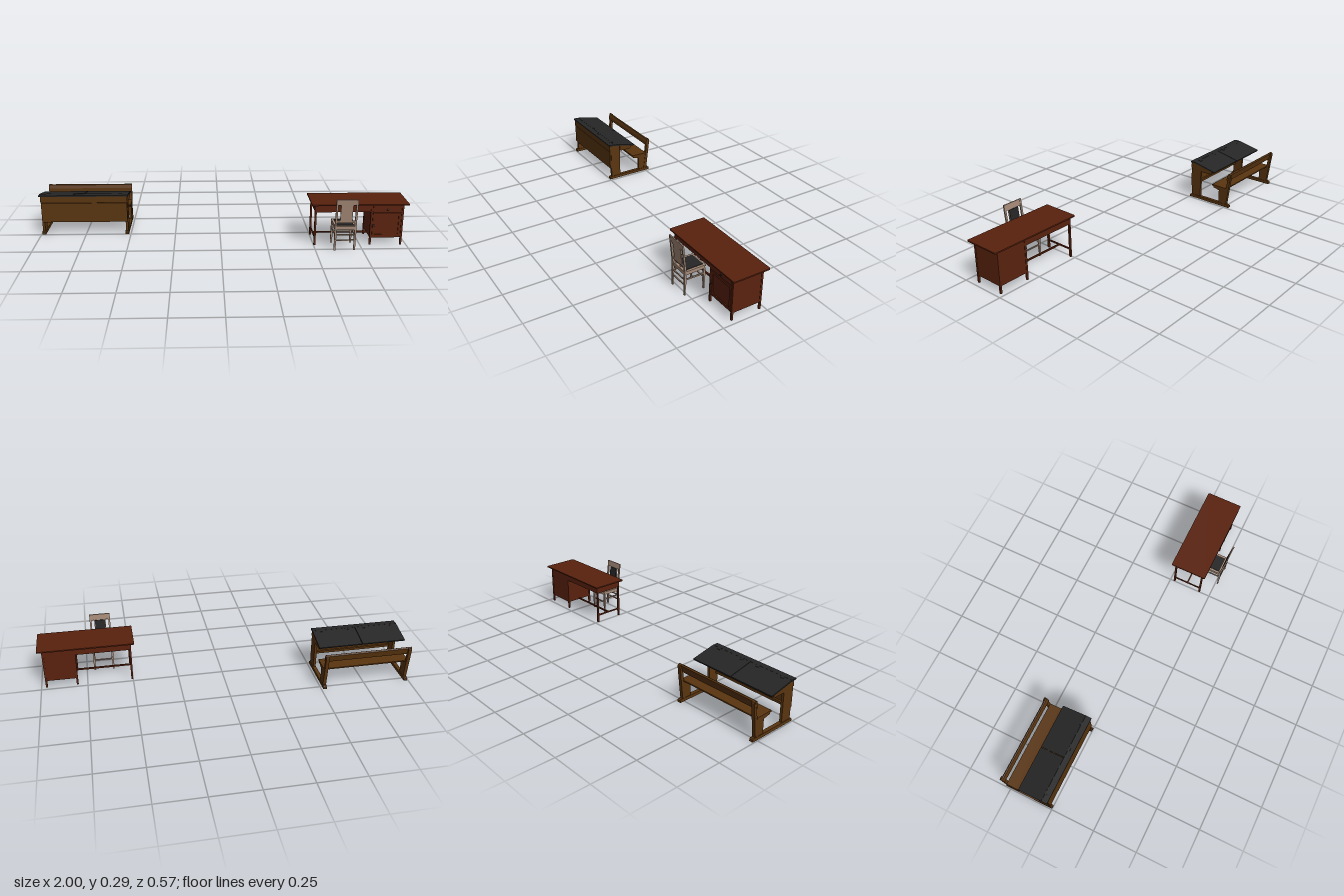
import * as THREE from 'three';

const mat = (color) => new THREE.MeshStandardMaterial({ color });
const oak = mat(0x5a3510), mahogany = mat(0x5a220e), black = mat(0x262626), beech = mat(0xa58a78);

function add(parent, name, geometry, material) {
  const mesh = new THREE.Mesh(geometry, material);
  mesh.name = name;
  parent.add(mesh);
  return mesh;
}

// Box given by its limits on each axis
function box(parent, name, material, [x0, x1], [y0, y1], [z0, z1]) {
  const g = new THREE.BoxGeometry(x1 - x0, y1 - y0, z1 - z0);
  g.translate((x0 + x1) / 2, (y0 + y1) / 2, (z0 + z1) / 2);
  return add(parent, name, g, material);
}

// Side profile of [z, y] points, extruded along x
function profile(parent, name, material, [x0, x1], points) {
  const shape = new THREE.Shape(points.map(([z, y]) => new THREE.Vector2(-z, y)));
  const g = new THREE.ExtrudeGeometry(shape, { depth: x1 - x0, bevelEnabled: false });
  g.rotateY(Math.PI / 2).translate(x0, 0, 0);
  return add(parent, name, g, material);
}

// Round pull knob on a front face
function knob(parent, x, y, z, dir, material) {
  const pts = [[0, 0], [0.002, 0], [0.002, 0.004], [0.005, 0.005], [0.005, 0.008], [0, 0.009]];
  const g = new THREE.LatheGeometry(pts.map((p) => new THREE.Vector2(...p)), 12);
  g.rotateX(dir * Math.PI / 2).translate(x, y, z);
  add(parent, 'knob', g, material);
}

function schoolBench() {
  const g = new THREE.Group();
  g.name = 'schoolBench';
  const L = -0.992, R = -0.514, mid = -0.754;

  // End frames: runner, upright, seat support and leaning back post
  for (const [a, b] of [[L, L + 0.014], [R - 0.014, R]]) {
    const grow = [a - 0.003, b + 0.003];
    profile(g, 'runner', oak, grow, [[-0.001, 0], [-0.277, 0], [-0.277, 0.012], [-0.271, 0.017],
      [-0.007, 0.017], [-0.001, 0.012]]);
    profile(g, 'upright', oak, [a, b], [[-0.012, 0.017], [-0.072, 0.017], [-0.072, 0.18],
      [-0.147, 0.18], [-0.147, 0.199], [-0.03, 0.224], [-0.012, 0.224]]);
    profile(g, 'deskBracket', oak, [a - 0.002, b + 0.002], [[-0.072, 0.183], [-0.078, 0.178],
      [-0.141, 0.178], [-0.148, 0.183], [-0.148, 0.198], [-0.072, 0.215]]);
    profile(g, 'seatSupport', oak, [a, b], [[-0.205, 0.017], [-0.245, 0.017], [-0.255, 0.1], [-0.205, 0.1]]);
    profile(g, 'seatBracket', oak, [a - 0.001, b + 0.001], [[-0.166, 0.104], [-0.203, 0.095],
      [-0.253, 0.095], [-0.253, 0.112], [-0.166, 0.112]]);
    profile(g, 'backPost', oak, [a - 0.002, b + 0.002], [[-0.24, 0.017], [-0.259, 0.017],
      [-0.282, 0.2], [-0.28, 0.207], [-0.272, 0.212], [-0.265, 0.205], [-0.258, 0.14]]);
  }

  // Front boards and book compartment
  box(g, 'frontPanel', oak, [L + 0.002, R - 0.002], [0.073, 0.183], [-0.014, -0.004]);
  box(g, 'frontTopBoard', oak, [L, R], [0.186, 0.222], [-0.014, -0.003]);
  box(g, 'bookShelf', oak, [L + 0.014, R - 0.014], [0.179, 0.184], [-0.145, -0.014]);
  profile(g, 'compartmentDivider', oak, [mid - 0.005, mid + 0.005], [[-0.014, 0.184], [-0.145, 0.184],
    [-0.145, 0.199], [-0.03, 0.222], [-0.014, 0.222]]);
  box(g, 'lowerRail', oak, [L + 0.014, R - 0.014], [0.075, 0.088], [-0.026, -0.014]);

  // Black writing top: flat ledge, two hinged lids
  box(g, 'topLedge', black, [-1, -0.508], [0.222, 0.2295], [-0.032, 0]);
  for (const [a, b] of [[-1, mid - 0.0015], [mid + 0.0015, -0.508]]) {
    profile(g, 'deskLid', black, [a, b], [[-0.032, 0.222], [-0.17, 0.193], [-0.171, 0.2], [-0.033, 0.2295]]);
    for (const t of [0.2, 0.8]) {
      const x = a + (b - a) * t;
      profile(g, 'hinge', black, [x - 0.009, x + 0.009], [[-0.022, 0.229], [-0.046, 0.226],
        [-0.046, 0.228], [-0.033, 0.2308], [-0.022, 0.2308]]);
    }
  }

  // Seat and backrest
  profile(g, 'seat', oak, [L - 0.003, R + 0.003], [[-0.157, 0.114], [-0.16, 0.112], [-0.256, 0.112],
    [-0.256, 0.119], [-0.2, 0.1195], [-0.16, 0.122], [-0.157, 0.12]]);
  profile(g, 'backrest', oak, [L - 0.003, R + 0.003], [[-0.257, 0.171], [-0.266, 0.168], [-0.275, 0.205],
    [-0.27, 0.212], [-0.264, 0.209], [-0.258, 0.19]]);
  return g;
}

function teacherDesk() {
  const g = new THREE.Group();
  g.name = 'teacherDesk';

  // Table top with rounded corners
  const x0 = 0.482, x1 = 1, z0 = 0.003, z1 = 0.207, r = 0.006;
  const s = new THREE.Shape();
  s.absarc(x1 - r, -z0 - r, r, 0, Math.PI / 2);
  s.absarc(x0 + r, -z0 - r, r, Math.PI / 2, Math.PI);
  s.absarc(x0 + r, -z1 + r, r, Math.PI, Math.PI * 1.5);
  s.absarc(x1 - r, -z1 + r, r, Math.PI * 1.5, Math.PI * 2);
  const top = new THREE.ExtrudeGeometry(s, { depth: 0.007, bevelEnabled: false, curveSegments: 4 });
  add(g, 'tableTop', top.rotateX(-Math.PI / 2).translate(0, 0.228, 0), mahogany);

  // Legs and aprons
  for (const x of [0.5, 0.8, 0.966]) {
    for (const z of [0.02, 0.18]) box(g, 'leg', mahogany, [x, x + 0.01], [0, 0.228], [z, z + 0.01]);
  }
  for (const z of [0.022, 0.181]) box(g, 'apron', mahogany, [0.51, 0.8], [0.187, 0.228], [z, z + 0.007]);
  box(g, 'sideApron', mahogany, [0.502, 0.508], [0.187, 0.228], [0.03, 0.18]);
  box(g, 'drawerBottom', mahogany, [0.508, 0.8], [0.188, 0.192], [0.029, 0.181]);

  // Stretchers
  box(g, 'sideStretcher', mahogany, [0.502, 0.508], [0.04, 0.048], [0.03, 0.18]);
  box(g, 'longStretcher', mahogany, [0.508, 0.802], [0.04, 0.048], [0.101, 0.109]);

  // Pedestal cabinet with drawer and panelled door
  box(g, 'cabinet', mahogany, [0.802, 0.974], [0.04, 0.228], [0.022, 0.186]);
  box(g, 'cabinetDrawer', mahogany, [0.812, 0.964], [0.187, 0.224], [0.186, 0.191]);
  for (const x of [0.812, 0.951]) box(g, 'doorStile', mahogany, [x, x + 0.013], [0.047, 0.182], [0.186, 0.191]);
  for (const y of [0.047, 0.169]) box(g, 'doorRail', mahogany, [0.825, 0.951], [y, y + 0.013], [0.186, 0.191]);
  knob(g, 0.888, 0.201, 0.19, 1, black);
  knob(g, 0.818, 0.113, 0.19, 1, black);
  return g;
}

function chair() {
  const g = new THREE.Group();
  g.name = 'chair';
  const L = 0.596, R = 0.71, w = 0.01;

  // Legs; the rear ones sweep up into the back posts
  for (const x of [L, R - w]) {
    profile(g, 'backPost', beech, [x, x + w], [[0.258, 0], [0.266, 0], [0.265, 0.02], [0.268, 0.09],
      [0.266, 0.135], [0.284, 0.288], [0.276, 0.288], [0.256, 0.135], [0.257, 0.06], [0.26, 0.02]]);
    profile(g, 'frontLeg', beech, [x, x + w], [[0.149, 0], [0.157, 0], [0.155, 0.02], [0.158, 0.045],
      [0.158, 0.118], [0.148, 0.118], [0.148, 0.045], [0.151, 0.02]]);
    box(g, 'sideStretcher', beech, [x + 0.002, x + 0.008], [0.084, 0.091], [0.155, 0.26]);
    profile(g, 'sideSeatRail', beech, [x + 0.001, x + 0.009], [[0.15, 0.116], [0.26, 0.114],
      [0.26, 0.134], [0.15, 0.134]]);
  }
  for (const z of [0.149, 0.257]) box(g, 'seatRail', beech, [L + w, R - w], [0.115, 0.134], [z, z + 0.008]);
  for (const [y, z] of [[0.062, 0.15], [0.084, 0.259], [0.054, 0.259]]) {
    box(g, 'crossStretcher', beech, [L + w, R - w], [y, y + 0.006], [z, z + 0.006]);
  }

  // Seat with dark cushion
  box(g, 'seat', beech, [L, R], [0.129, 0.135], [0.146, 0.257]);
  box(g, 'cushion', black, [L + 0.012, R - 0.012], [0.135, 0.138], [0.156, 0.252]);

  // Back: rails follow the lean of the posts
  const zAt = (y) => 0.261 + (y - 0.135) * 0.125;
  const slab = (name, material, xs, y0, y1, a, b) => profile(g, name, material, xs,
    [[zAt(y0) + a, y0], [zAt(y0) + b, y0], [zAt(y1) + b, y1], [zAt(y1) + a, y1]]);
  slab('topRail', beech, [L + w, R - w], 0.255, 0.288, -0.003, 0.003);
  slab('lowerBackRail', beech, [L + w, R - w], 0.155, 0.167, -0.003, 0.003);
  slab('backSplat', beech, [0.621, 0.685], 0.165, 0.257, -0.002, 0.003);
  slab('backPad', black, [0.625, 0.681], 0.17, 0.254, -0.005, -0.002);
  return g;
}

export function createModel() {
  const model = new THREE.Group();
  model.name = 'classroomFurniture';
  model.add(schoolBench(), teacherDesk(), chair());
  return model;
}
